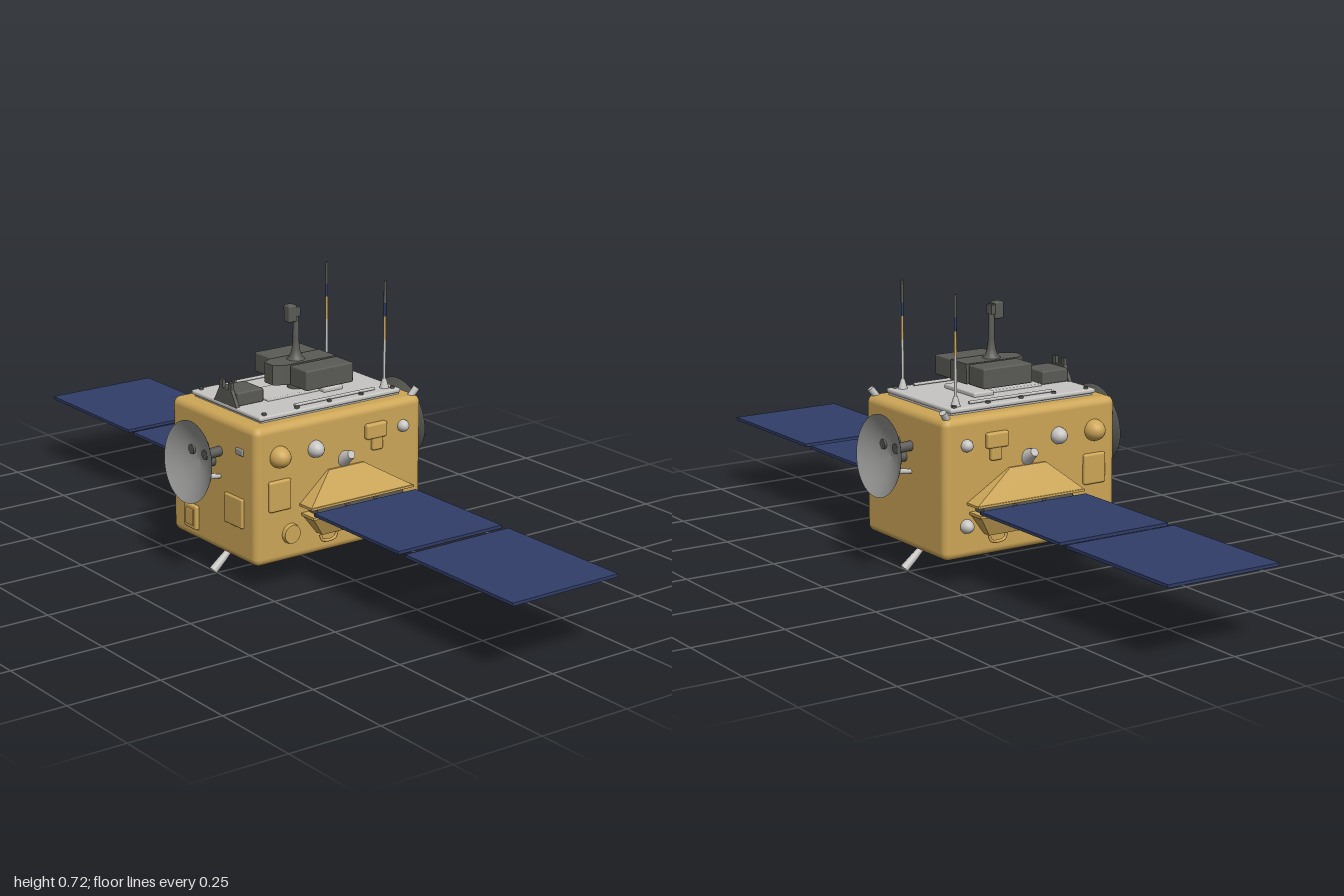
import * as THREE from 'three';
import { RoundedBoxGeometry } from 'three/addons/geometries/RoundedBoxGeometry.js';

const paint = (name, color) => {
  const m = new THREE.MeshStandardMaterial({ color });
  m.name = name;
  return m;
};

export function createModel() {
  const root = new THREE.Group();
  root.name = 'spacecraft';
  const gold = paint('gold foil', 0xcda657);
  const dark = paint('dark grey', 0x5a5a56);
  const light = paint('light grey', 0xc6c5c2);
  const dishGrey = paint('dish grey', 0x969694);
  const navy = paint('solar navy', 0x303d68);

  const add = (name, geo, mat, x = 0, y = 0, z = 0, parent = root) => {
    const m = new THREE.Mesh(geo, mat);
    m.name = name;
    m.position.set(x, y, z);
    parent.add(m);
    return m;
  };
  // Box given by its limits
  const block = (name, mat, [x0, x1], [y0, y1], [z0, z1], r = 0) => {
    const s = [Math.abs(x1 - x0), y1 - y0, z1 - z0];
    const g = r ? new RoundedBoxGeometry(...s, 3, r) : new THREE.BoxGeometry(...s);
    return add(name, g, mat, (x0 + x1) / 2, (y0 + y1) / 2, (z0 + z1) / 2);
  };
  // Tapered rod between two points
  const rod = (name, mat, a, b, ra, rb = ra) => {
    const p = new THREE.Vector3(...a), q = new THREE.Vector3(...b);
    const d = q.clone().sub(p);
    const m = add(name, new THREE.CylinderGeometry(rb, ra, d.length(), 16), mat);
    m.position.copy(p).add(q).multiplyScalar(0.5);
    m.quaternion.setFromUnitVectors(new THREE.Vector3(0, 1, 0), d.normalize());
    return m;
  };
  // Box whose top and bottom rectangles differ: [y, x0, x1, z0, z1]
  const taper = (name, mat, bottom, top) => {
    const g = new THREE.BoxGeometry(1, 1, 1), p = g.attributes.position;
    for (let i = 0; i < p.count; i++) {
      const [y, x0, x1, z0, z1] = p.getY(i) > 0 ? top : bottom;
      p.setXYZ(i, p.getX(i) > 0 ? Math.max(x0, x1) : Math.min(x0, x1), y, p.getZ(i) > 0 ? z1 : z0);
    }
    g.computeVertexNormals();
    return add(name, g, mat);
  };

  // Main body and deck
  block('body', gold, [-0.187, 0.187], [0.07, 0.43], [-0.26, 0.26], 0.02);
  block('deckBase', light, [-0.145, 0.145], [0.425, 0.437], [-0.215, 0.215]);
  block('deck', light, [-0.152, 0.152], [0.435, 0.447], [-0.218, 0.222], 0.005);
  block('deckCover', light, [-0.07, 0.07], [0.445, 0.458], [-0.095, -0.035], 0.004);
  block('deckStep', light, [-0.05, 0.05], [0.445, 0.453], [-0.035, 0.125], 0.003);
  for (const s of [-1, 1]) {
    rod('deckRail', light, [s * 0.128, 0.452, -0.15], [s * 0.128, 0.452, 0.1], 0.004);
    for (const z of [-0.2, -0.1, 0, 0.1, 0.2])
      add('deckBolt', new THREE.CylinderGeometry(0.006, 0.006, 0.008, 10), dark, s * 0.138, 0.448, z);
  }

  // Instrument cluster and mast on the deck
  add('clusterPedestal', new THREE.CylinderGeometry(0.024, 0.026, 0.035, 24), dark, 0, 0.462, 0);
  for (const s of [-1, 1])
    block('clusterBox', dark, [s * 0.042, s * 0.113], [0.475, 0.527], [-0.095, 0.052], 0.004);
  const keel = new THREE.Shape([[-0.036, 0.097], [0.036, 0.097], [0.036, -0.06], [0.018, -0.088], [-0.018, -0.088], [-0.036, -0.06]]
    .map(([x, y]) => new THREE.Vector2(x, y)));
  const keelGeo = new THREE.ExtrudeGeometry(keel, { depth: 0.052, bevelEnabled: false });
  add('clusterCentre', keelGeo, dark, 0, 0.475, 0).rotation.x = -Math.PI / 2;
  block('clusterLink', dark, [-0.05, 0.05], [0.483, 0.515], [-0.07, 0.03]);
  const mast = [[0.026, 0.525], [0.017, 0.533], [0.011, 0.55], [0.008, 0.575], [0.007, 0.665], [0, 0.667]];
  add('mast', new THREE.LatheGeometry(mast.map(([x, y]) => new THREE.Vector2(x, y)), 20), dark, 0, 0, 0.003);
  block('mastHead', dark, [-0.013, 0.013], [0.627, 0.671], [0.008, 0.033], 0.004);
  block('mastCap', dark, [-0.011, 0.011], [0.64, 0.664], [-0.004, 0.01]);

  // Front deck sensor
  block('sensorBody', dark, [-0.043, 0.043], [0.447, 0.482], [0.133, 0.212], 0.004);
  taper('sensorPlate', dark, [0.445, -0.05, 0.05, 0.211, 0.221], [0.485, -0.026, 0.026, 0.211, 0.221]);
  for (const s of [-1, 1])
    block('sensorHorn', dark, [s * 0.012, s * 0.026], [0.48, 0.505], [0.212, 0.221]);

  // Whip antennas in coloured bands
  for (const s of [-1, 1]) {
    const x = s * 0.123, z = -0.186;
    rod('antennaFoot', light, [x, 0.445, z], [x, 0.472, z], 0.013, 0.005);
    [[0.47, 0.575, light], [0.575, 0.635, gold], [0.635, 0.67, navy], [0.67, 0.727, dark]].forEach(([a, b, m]) =>
      rod('antennaBand', m, [x, a, z], [x, b, z], 0.0036, 0.0034));
    rod('cornerKnob', light, [s * 0.165, 0.425, -0.238], [s * 0.17, 0.447, -0.254], 0.009);
  }

  // Dishes, struts and thrusters, front and back
  const shell = [[0, 0], [0.036, 0], [0.046, 0.006], [0.1, 0.038], [0.105, 0.043]];
  const bowl = [[0.105, 0.043], [0.09, 0.034], [0.065, 0.021], [0.035, 0.01], [0, 0.005]];
  const lathe = pts => new THREE.LatheGeometry(pts.map(([x, y]) => new THREE.Vector2(x, y)), 48);
  for (const s of [1, -1]) {
    const dish = new THREE.Group();
    dish.name = s > 0 ? 'frontDish' : 'backDish';
    dish.position.set(0, 0.311, s * 0.293);
    dish.rotation.x = s * (Math.PI / 2 - 0.1);
    root.add(dish);
    add('dishShell', lathe(shell), dark, 0, 0, 0, dish);
    add('dishBowl', lathe(bowl), dishGrey, 0, 0, 0, dish);
    for (const x of [-0.03, 0.03]) {
      rod('dishStrut', dark, [x, 0.338, s * 0.25], [x, 0.335, s * 0.306], 0.013);
      rod('dishBrace', light, [x, 0.27, s * 0.25], [x, 0.278, s * 0.303], 0.005, 0.008);
    }
    rod('dishHub', dark, [0, 0.305, s * 0.25], [0, 0.305, s * 0.298], 0.014);
    block('thrusterMount', dark, [-0.025, 0.025], [0.064, 0.075], [s * 0.18 - 0.03, s * 0.18 + 0.03], 0.004);
    rod('thrusterArm', light, [0, 0.073, s * 0.195], [0, 0.035, s * 0.235], 0.007, 0.01);
    rod('thrusterNozzle', light, [0, 0.04, s * 0.23], [0, 0.011, s * 0.263], 0.01, 0.0115);
  }

  // Raised panels on the front face
  block('frontHatch', gold, [-0.12, -0.065], [0.1, 0.165], [0.25, 0.27], 0.005);
  block('frontHatchInset', gold, [-0.109, -0.076], [0.111, 0.154], [0.266, 0.273], 0.002);
  block('frontPlate', gold, [-0.125, -0.055], [0.19, 0.235], [0.25, 0.268], 0.005);
  block('frontPlate', gold, [0.055, 0.135], [0.16, 0.238], [0.25, 0.267], 0.005);
  for (const x of [-0.12, 0.12]) block('frontSensor', dishGrey, [x - 0.015, x + 0.015], [0.35, 0.367], [0.255, 0.265], 0.003);

  // Side equipment and solar wings
  for (const s of [-1, 1]) {
    const dome = (name, mat, z, y, r, h) => {
      const m = add(name, new THREE.SphereGeometry(r, 24, 16), mat, s * 0.187, y, z);
      m.scale.x = h / r;
    };
    dome('goldDome', gold, 0.19, 0.35, 0.028, 0.035);
    dome('sideDome', light, 0.08, 0.35, 0.022, 0.028);
    dome('sideDome', light, -0.196, 0.36, 0.016, 0.02);
    dome('sideDome', light, -0.197, 0.155, 0.018, 0.024);
    rod('goldDisc', gold, [s * 0.18, 0.143, 0.155], [s * 0.197, 0.143, 0.155], 0.028, 0.024);
    block('sidePlate', gold, [s * 0.175, s * 0.196], [0.21, 0.29], [0.157, 0.223], 0.006);
    block('sideBracket', gold, [s * 0.175, s * 0.2], [0.345, 0.385], [-0.14, -0.075], 0.006);
    block('sideBracket', gold, [s * 0.175, s * 0.198], [0.313, 0.35], [-0.128, -0.095], 0.006);
    rod('sideNozzle', light, [s * 0.18, 0.305, -0.012], [s * 0.216, 0.325, -0.012], 0.021, 0.011);

    // Wing housing above and below the panel
    taper('upperHousing', gold, [0.214, s * 0.17, s * 0.236, -0.195, 0.127], [0.288, s * 0.17, s * 0.192, -0.07, 0.04]);
    block('upperLip', gold, [s * 0.18, s * 0.238], [0.209, 0.215], [-0.195, 0.127]);
    taper('lowerHousing', gold, [0.129, s * 0.17, s * 0.212, -0.145, 0.075], [0.184, s * 0.17, s * 0.236, -0.185, 0.119]);
    block('lowerLip', gold, [s * 0.18, s * 0.239], [0.183, 0.19], [-0.188, 0.122]);
    for (const z of [0.05, -0.115]) {
      const path = [[-0.027, 0.13], [-0.018, 0.112], [0.018, 0.112], [0.027, 0.13]]
        .map(([dz, y]) => new THREE.Vector3(s * 0.205, y, z + dz));
      add('handle', new THREE.TubeGeometry(new THREE.CatmullRomCurve3(path), 20, 0.004, 8), gold);
    }
    block('wingRoot', dark, [s * 0.18, s * 0.225], [0.189, 0.21], [-0.17, 0.1]);
    for (const z of [-0.08, 0.01])
      rod('wingHinge', dark, [s * 0.2, 0.201, z], [s * 0.25, 0.201, z], 0.004);
    block('innerSolarPanel', navy, [s * 0.245, s * 0.583], [0.197, 0.205], [-0.195, 0.125]);
    block('outerSolarPanel', navy, [s * 0.608, s * 1], [0.197, 0.205], [-0.195, 0.125]);
  }
  return root;
}
